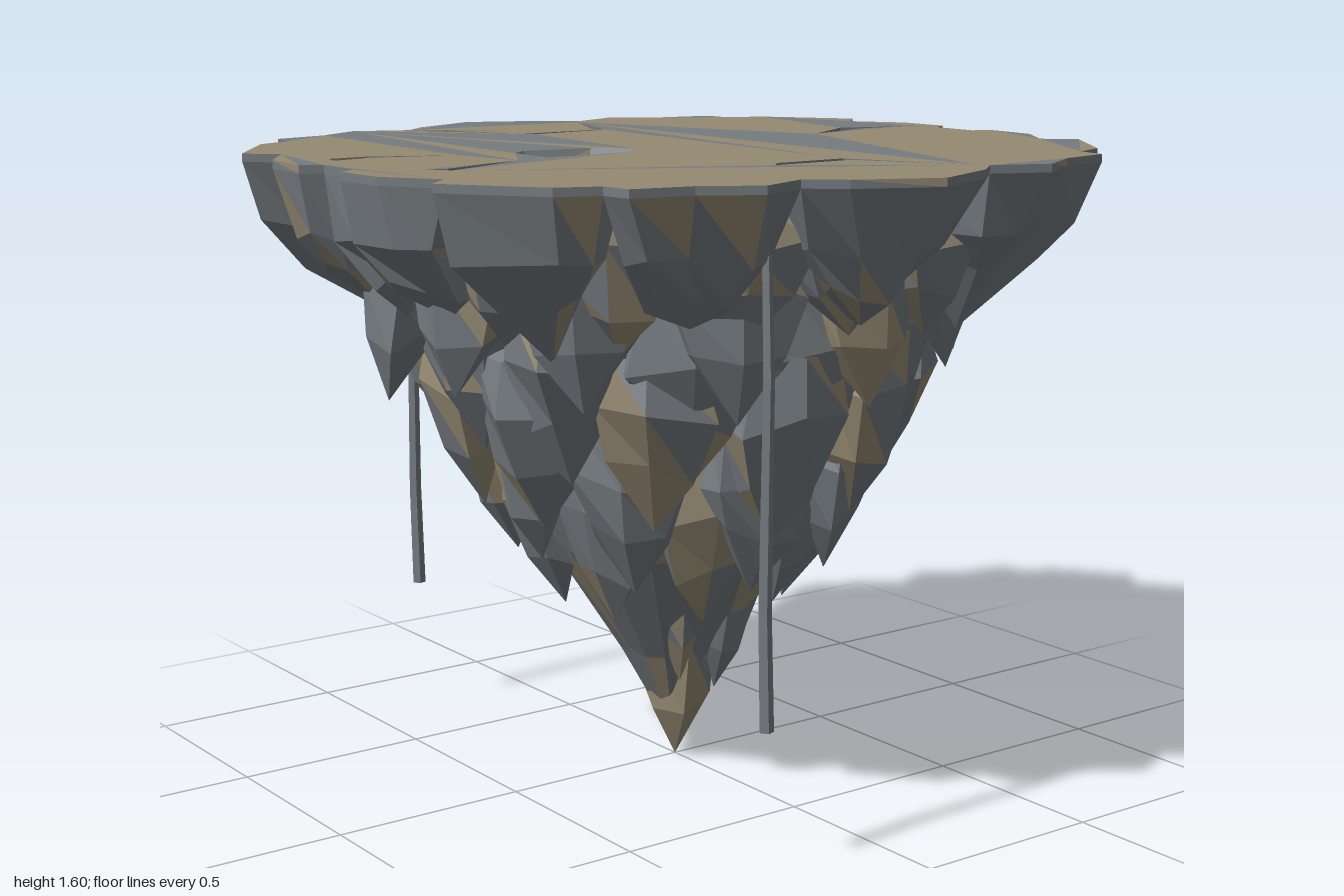
import * as THREE from 'three';

const rockMat = (color) => new THREE.MeshStandardMaterial({ color, flatShading: true, side: THREE.DoubleSide });
const SLATE = rockMat(0x757b80), EARTH = rockMat(0x958a73);
const V = (x, y, z) => new THREE.Vector3(x, y, z);

let seed = 7;
const rand = () => {
  seed = (seed * 16807) % 2147483647;
  return seed / 2147483647;
};
const jit = (a) => (rand() - 0.5) * 2 * a;

// Collects flat triangles and splits them into a slate and an earth mesh
class Facets {
  constructor() { this.slate = []; this.earth = []; }
  tri(a, b, c, earthShare) {
    const list = rand() < earthShare ? this.earth : this.slate;
    for (const p of [a, b, c]) list.push(p.x, p.y, p.z);
  }
  // Stacked rings from top to bottom, ending in a tip
  loft(rings, tip, earthShare, closeTop) {
    const n = rings[0].length;
    const mid = rings[0].reduce((s, p) => s.add(p), V(0, 0, 0)).divideScalar(n);
    for (let i = 0; i < n; i++) {
      const j = (i + 1) % n;
      if (closeTop) this.tri(mid, rings[0][j], rings[0][i], earthShare);
      for (let k = 0; k + 1 < rings.length; k++) {
        const a = rings[k], b = rings[k + 1];
        this.tri(a[i], a[j], b[i], earthShare);
        this.tri(a[j], b[j], b[i], earthShare);
      }
      const last = rings[rings.length - 1];
      this.tri(last[i], last[j], tip, earthShare);
    }
  }
  build(name) {
    const group = new THREE.Group();
    group.name = name;
    for (const [key, mat] of [['slate', SLATE], ['earth', EARTH]]) {
      if (!this[key].length) continue;
      const geo = new THREE.BufferGeometry();
      geo.setAttribute('position', new THREE.Float32BufferAttribute(this[key], 3));
      geo.computeVertexNormals();
      const mesh = new THREE.Mesh(geo, mat);
      mesh.name = name + (key === 'slate' ? 'Slate' : 'Earth');
      group.add(mesh);
    }
    return group;
  }
}

// Quarter of the plateau edge as [x, z, notch]; mirrored into all four quarters
const QUARTER = [[1, 0], [0.91, 0.2], [0.84, 0.28, 1], [0.9, 0.42], [0.82, 0.55], [0.79, 0.7], [0.71, 0.71, 1],
  [0.67, 0.81], [0.45, 0.97], [0.38, 0.9, 1], [0.25, 0.99], [0.1, 1], [0.07, 0.95, 1]];
const flip = (pts, sx, sz) => pts.map(([x, z, n]) => [x * sx, z * sz, n]);
const BACKWARD = QUARTER.slice(1).reverse();
const EDGE = [...QUARTER, ...flip(BACKWARD, -1, 1), ...flip(QUARTER, -1, -1), ...flip(BACKWARD, 1, -1)];
const SLAB = 0.02;

// Cracks and the pit that open in the plateau, as [x, z]
const PIT = [[0, 0.12], [0.07, 0.19], [0.08, 0.43], [-0.07, 0.43], [-0.11, 0.38], [-0.08, 0.2]];
const CRACKS = [
  [[-0.15, -0.9], [-0.16, -0.75], [-0.09, -0.53], [-0.21, -0.72]],
  [[0.82, -0.26], [0.55, -0.11], [0.55, 0.12], [0.51, 0.08], [0.51, -0.12]],
  [[-0.81, -0.25], [-0.54, -0.16], [-0.52, 0.08], [-0.81, 0.28], [-0.77, 0.2], [-0.55, 0.1], [-0.55, -0.13]],
  [[-0.1, 0.57], [-0.17, 0.77], [-0.15, 0.88], [-0.2, 0.87], [-0.2, 0.77]],
  [[0.1, 0.53], [0.22, 0.78], [0.16, 0.82], [0.18, 0.77], [0.12, 0.61]],
];

function plateau() {
  const vec = ([x, z]) => new THREE.Vector2(x, -z);
  const shape = new THREE.Shape(EDGE.map(vec));
  for (const hole of [PIT, ...CRACKS]) shape.holes.push(new THREE.Path(hole.map(vec)));
  const geo = new THREE.ExtrudeGeometry(shape, { depth: SLAB, bevelEnabled: false });
  geo.rotateX(-Math.PI / 2).translate(0, 1.6 - SLAB, 0);
  const p = geo.attributes.position, facets = new Facets();
  const at = (i) => V(0, 0, 0).fromBufferAttribute(p, i);
  for (let i = 0; i < p.count; i += 3) {
    const t = [at(i), at(i + 1), at(i + 2)];
    const isTop = t.every((q) => q.y > 1.595);
    facets.tri(...t, isTop ? 0.75 : 0.1);
  }
  return facets.build('plateau');
}

function pit() {
  const facets = new Facets();
  const ring = (s, y) => PIT.map(([x, z]) => V(x * s, y, 0.3 + (z - 0.3) * s));
  facets.loft([ring(1, 1.6), ring(0.7, 1.54)], V(-0.01, 1.5, 0.27), 0.2, false);
  return facets.build('pit');
}

// Boulders hanging from the rim, one between each pair of notches
function rim() {
  const facets = new Facets();
  const notches = EDGE.map((p, i) => (p[2] ? i : -1)).filter((i) => i >= 0);
  notches.forEach((start, k) => {
    const end = notches[(k + 1) % notches.length];
    const outer = [];
    for (let i = start; ; i = (i + 1) % EDGE.length) {
      outer.push(EDGE[i]);
      if (i === end) break;
    }
    const inner = [outer[outer.length - 1], outer[0]].map(([x, z]) => [x * 0.63, z * 0.63]);
    const poly = [...outer, ...inner];
    const cx = (outer[0][0] + outer[outer.length - 1][0]) / 2;
    const cz = (outer[0][1] + outer[outer.length - 1][1]) / 2;
    const r = Math.hypot(cx, cz), front = Math.abs(cz) / r;
    const tip = V((cx / r) * 0.72, 1.21 + jit(0.06), (cz / r) * (0.72 + 0.06 * front));
    const ring = (y, f, j) => poly.map(([x, z]) =>
      V(x + (tip.x - x) * f + jit(j), y + jit(j), z + (tip.z - z) * f + jit(j)));
    facets.loft([ring(1.6 - SLAB, 0, 0), ring(1.43, 0.33 - 0.2 * front, 0.025), ring(1.33, 0.6 - 0.12 * front, 0.035)],
      tip, 0.1, false);
  });
  return facets.build('rimBoulders');
}

// Rows of pointed shards: count, top radius and height, tip radius and height, width, x squeeze
const ROWS = [
  [16, 0.72, 1.54, 0.73, 1.2, 0.19, 0.93],
  [13, 0.68, 1.5, 0.77, 1.04, 0.19, 0.85],
  [12, 0.62, 1.32, 0.57, 0.87, 0.18, 0.91],
  [11, 0.58, 1.16, 0.51, 0.7, 0.17, 0.96],
  [9, 0.46, 1.02, 0.41, 0.57, 0.16, 1],
  [8, 0.38, 0.85, 0.29, 0.43, 0.14, 1],
  [6, 0.18, 0.62, 0.11, 0.22, 0.11, 1],
  [1, 0, 0.5, 0, 0, 0.15, 1],
];

function shardRow([n, r0, y0, r1, y1, w, sx], row) {
  const facets = new Facets(), sides = 6;
  for (let i = 0; i < n; i++) {
    const angle = ((i + (row % 2) / 2) / n) * Math.PI * 2 + Math.PI / 2;
    const c = Math.cos(angle), s = Math.sin(angle);
    const drop = n > 1 ? jit(0.03) : 0;
    const place = (out, y, side) => V((out * c - side * s) * sx, y, out * s + side * c);
    const rings = [[0, 0.75], [0.32, 1], [0.66, 0.68]].map(([t, size]) =>
      Array.from({ length: sides }, (_, k) => {
        const a = (k / sides) * Math.PI * 2, q = w * size * (1 + jit(0.15));
        const out = r0 + (r1 - r0) * t + Math.cos(a) * q * 0.68;
        return place(out, y0 + (y1 - y0) * t + drop + jit(0.035), Math.sin(a) * q);
      }));
    facets.loft(rings, place(r1, y1 + drop, 0), rand() < 0.25 ? 0.7 : 0.1, true);
  }
  return facets.build('shardRow' + (row + 1));
}

// Solid heart that closes the gaps between shards
function core() {
  const facets = new Facets(), n = 16;
  const rings = [[0.74, 1.45], [0.64, 1.2], [0.5, 0.9], [0.33, 0.6], [0.14, 0.3]].map(([r, y]) =>
    Array.from({ length: n }, (_, k) => {
      const a = (k / n) * Math.PI * 2, q = r * (1 + jit(0.05));
      return V(q * Math.cos(a) * 0.93, y, q * Math.sin(a));
    }));
  facets.loft(rings, V(0, 0.04, 0), 0.1, true);
  return facets.build('core');
}

// Slightly crooked hanging root
function root(x, z, top, bottom) {
  const geo = new THREE.CylinderGeometry(0.013, 0.018, top - bottom, 5, 4);
  const p = geo.attributes.position;
  for (let i = 0; i < p.count; i++) p.setX(i, p.getX(i) + 0.006 * Math.sin(p.getY(i) * 9));
  const mesh = new THREE.Mesh(geo, SLATE);
  mesh.position.set(x, (top + bottom) / 2, z);
  mesh.name = 'hangingRoot';
  return mesh;
}

export function createModel() {
  seed = 7;
  const model = new THREE.Group();
  model.name = 'floatingIsland';
  model.add(plateau(), pit(), rim(), core(), ...ROWS.map(shardRow));
  model.add(root(0.78, 0.32, 1.43, 0.34), root(-0.78, 0.32, 1.43, 0.35),
    root(-0.79, -0.28, 1.43, 0.57), root(-0.09, -0.91, 1.42, 0.86));
  return model;
}
